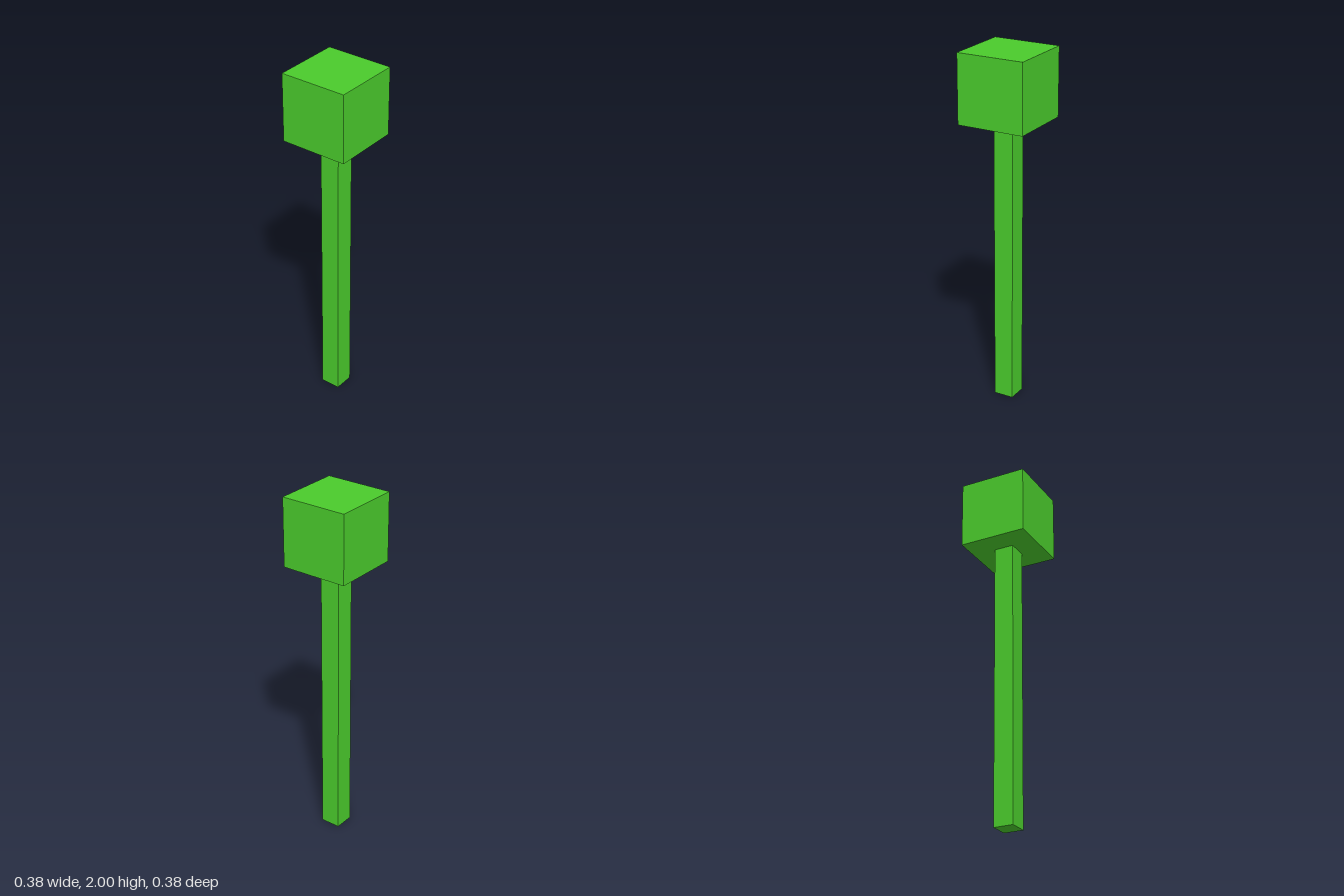
import * as THREE from 'three';

const HEIGHT = 2;
const HEAD = 0.385; // edge of the cubic head
const STEM = 0.113; // side of the square stem

export function createModel() {
  const model = new THREE.Group();
  model.name = 'postWithCubeHead';
  const green = new THREE.MeshStandardMaterial({ color: 0x4acb2c });

  // Box of square plan, standing on height y
  const addBlock = (name, width, height, y) => {
    const mesh = new THREE.Mesh(new THREE.BoxGeometry(width, height, width), green);
    mesh.name = name;
    mesh.position.y = y + height / 2;
    model.add(mesh);
  };

  addBlock('stem', STEM, HEIGHT - HEAD, 0);
  addBlock('head', HEAD, HEAD, HEIGHT - HEAD);

  return model;
}
